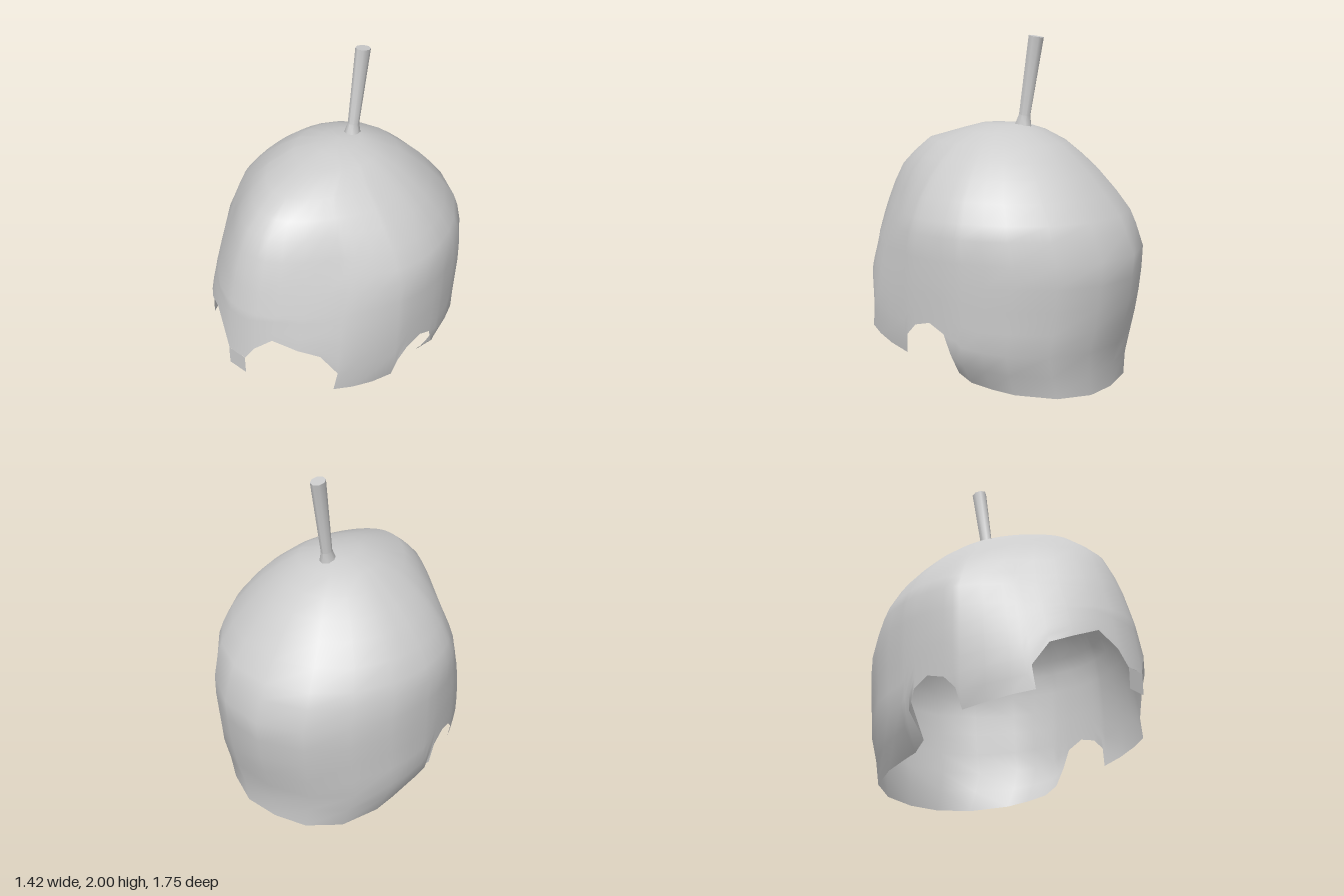
import * as THREE from 'three';
import { toCreasedNormals } from 'three/addons/utils/BufferGeometryUtils.js';

const MID_Z = -0.02;

// Shell cross-sections: height, half width, front z, back z,
// and how full the front and back quarters are (1 = elliptical)
const SECTIONS = [
  [0, 0.53, 0.88, -0.745, 1, 1.1], [0.08, 0.57, 0.88, -0.747, 1, 1.1],
  [0.13, 0.585, 0.88, -0.749, 1, 1.08], [0.21, 0.67, 0.88, -0.765, 1, 1.04],
  [0.27, 0.69, 0.88, -0.783, 1, 1.03], [0.46, 0.7, 0.88, -0.838, 0.99, 1],
  [0.64, 0.708, 0.857, -0.86, 0.96, 1], [0.79, 0.709, 0.838, -0.872, 0.92, 0.99],
  [0.92, 0.707, 0.8, -0.82, 0.89, 0.99], [1.0, 0.675, 0.778, -0.78, 0.875, 1],
  [1.11, 0.622, 0.735, -0.69, 0.875, 1], [1.22, 0.53, 0.68, -0.592, 0.895, 1],
  [1.3, 0.45, 0.597, -0.502, 0.92, 1], [1.385, 0.345, 0.49, -0.4, 0.95, 1],
  [1.45, 0.24, 0.26, -0.265, 0.98, 1], [1.485, 0.11, 0.13, -0.17, 1, 1],
];

// Rim of one half, from the nose round to the nape: angle in degrees, height
const RIM = [
  [0, 0.46], [5.3, 0.46], [9.8, 0.55], [18.2, 0.64], [30, 0.585], [40, 0.54],
  [48, 0.4], [46.5, 0.275], [55, 0.255], [64, 0.232], [73.5, 0.21],
  [75.2, 0.33], [79.7, 0.4], [86.5, 0.43], [92.9, 0.38], [96, 0.27], [95, 0.13],
  [100.7, 0.08], [110, 0.058], [120, 0.04], [138, 0.022], [158, 0.008], [180, 0],
];

// Point on the egg-shaped outline at a given angle and height
function shellPoint(deg, y) {
  let i = 0;
  while (i < SECTIONS.length - 2 && y > SECTIONS[i + 1][0]) i++;
  const a = SECTIONS[i], b = SECTIONS[i + 1];
  const t = (y - a[0]) / (b[0] - a[0]);
  const [w, front, back, frontFull, backFull] =
    [1, 2, 3, 4, 5].map((k) => THREE.MathUtils.lerp(a[k], b[k], t));
  const r = THREE.MathUtils.degToRad(deg), c = Math.cos(r);
  const full = 1 + ((c > 0 ? frontFull : backFull) - 1) * Math.sin(2 * r) ** 2;
  const depth = c > 0 ? front - MID_Z : MID_Z - back;
  return [w * Math.sin(r) * full, y, MID_Z + depth * c * full];
}

function shellGeometry() {
  const lowRows = 6, lowTop = 0.79;
  const upper = SECTIONS.map((s) => s[0]).filter((y) => y > lowTop);

  // Each column climbs from its rim point, easing to an evenly ordered angle
  let last = -3;
  const half = RIM.map(([deg, rimY]) => {
    const high = last = Math.min(180, Math.max(deg, last + 2.5));
    const heights = [];
    for (let i = 0; i <= lowRows; i++) heights.push(THREE.MathUtils.lerp(rimY, lowTop, i / lowRows));
    return [...heights, ...upper].map((y) =>
      shellPoint(THREE.MathUtils.lerp(deg, high, Math.min(1, (y - rimY) / 0.12)), y));
  });
  const mirrored = half.slice(1, -1).reverse().map((col) => col.map(([x, y, z]) => [-x, y, z]));
  const columns = [...half, ...mirrored];

  const rows = columns[0].length;
  const positions = columns.flat(2);
  const index = [];
  const apex = columns.length * rows;
  positions.push(0, 1.495, -0.03);
  columns.forEach((_, c) => {
    const a = c * rows, b = ((c + 1) % columns.length) * rows;
    for (let r = 0; r < rows - 1; r++) {
      index.push(a + r, b + r, b + r + 1, a + r, b + r + 1, a + r + 1);
    }
    index.push(a + rows - 1, b + rows - 1, apex);
  });

  const geometry = new THREE.BufferGeometry();
  geometry.setAttribute('position', new THREE.Float32BufferAttribute(positions, 3));
  geometry.setIndex(index);
  geometry.computeVertexNormals();
  return geometry;
}

export function createModel() {
  const model = new THREE.Group();
  model.name = 'helmet';
  const material = new THREE.MeshStandardMaterial({ color: 0xcccccc, side: THREE.DoubleSide });

  function add(name, geometry) {
    const mesh = new THREE.Mesh(geometry, material);
    mesh.name = name;
    model.add(mesh);
    return mesh;
  }

  // Thin open shell with eye and ear cut-outs
  add('shell', shellGeometry());

  // Flat plate below the brow
  add('noseGuard', new THREE.PlaneGeometry(0.13, 0.12)).position.set(0, 0.4, 0.878);

  // Flared plume holder leaning backwards
  const profile = [[0.046, 0], [0.031, 0.065], [0.041, 0.523], [0, 0.523]]
    .map(([r, y]) => new THREE.Vector2(r, y));
  const holder = add('plumeHolder', toCreasedNormals(new THREE.LatheGeometry(profile, 8), 0.8));
  holder.scale.z = 1.17;
  holder.position.set(0, 1.476, -0.145);
  holder.rotation.x = -0.165;

  return model;
}
